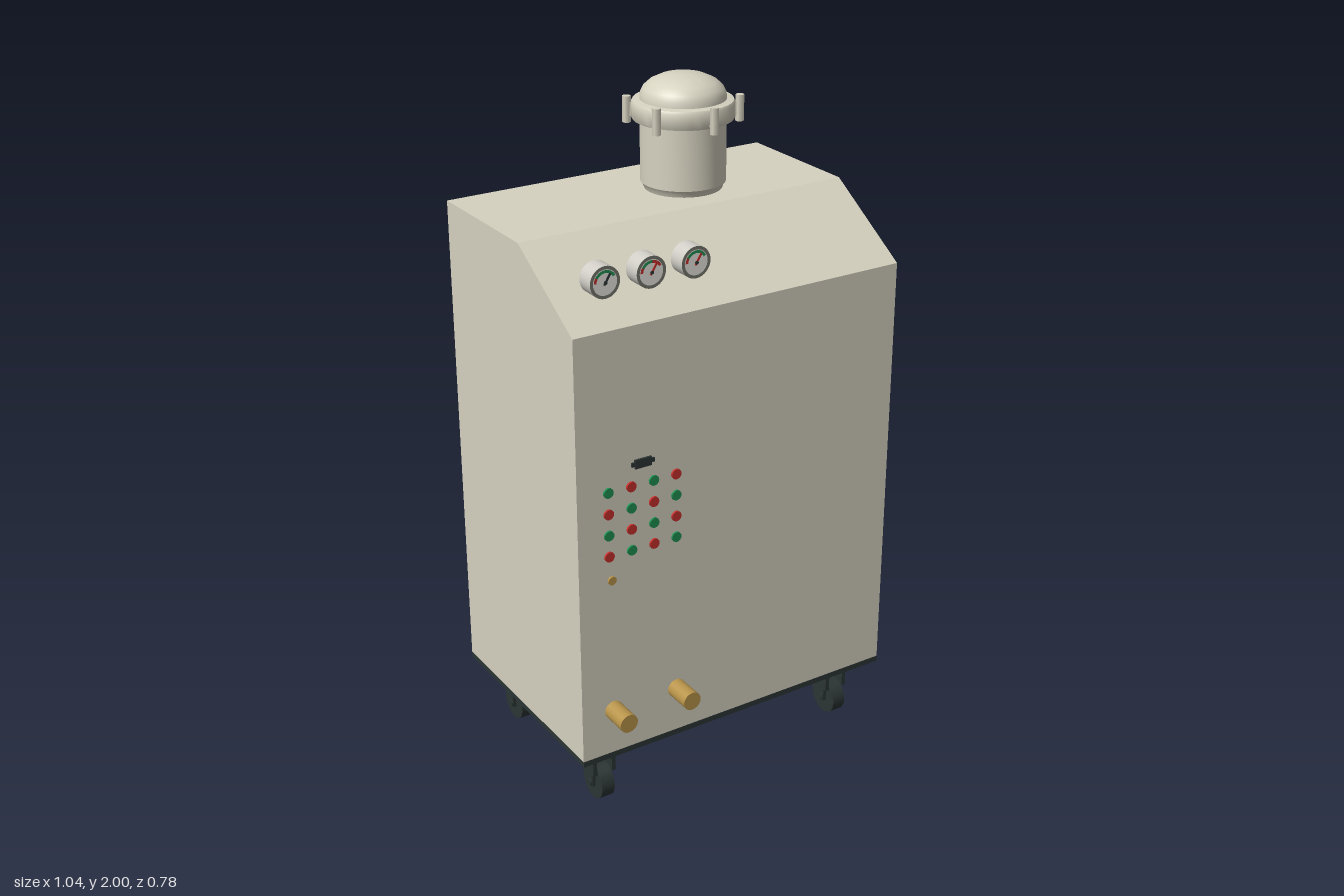
import * as THREE from 'three';
import { toCreasedNormals } from 'three/addons/utils/BufferGeometryUtils.js';

function mat(name, color) {
  const m = new THREE.MeshStandardMaterial({ color });
  m.name = name;
  return m;
}

export function createModel() {
  const cream = mat('cream paint', 0xd6d2c0);
  const steel = mat('pale steel', 0xd0cec6);
  const dialWhite = mat('dial white', 0xe9e8e2);
  const dark = mat('dark rubber', 0x2b3434);
  const rimGrey = mat('rim grey', 0x77776f);
  const brass = mat('brass', 0xb8944a);
  const green = mat('signal green', 0x1f9152);
  const red = mat('signal red', 0xc62f2b);

  const model = new THREE.Group();
  model.name = 'cabinetMachine';

  function add(parent, name, geometry, material, x = 0, y = 0, z = 0) {
    const mesh = new THREE.Mesh(geometry, material);
    mesh.name = name;
    mesh.position.set(x, y, z);
    parent.add(mesh);
    return mesh;
  }
  function group(name, x, y, z) {
    const g = new THREE.Group();
    g.name = name;
    g.position.set(x, y, z);
    model.add(g);
    return g;
  }
  const box = (w, h, d) => new THREE.BoxGeometry(w, h, d);
  // Cylinder lying along z or x
  const cylZ = (r, len, n = 32) => new THREE.CylinderGeometry(r, r, len, n).rotateX(Math.PI / 2);
  const cylX = (r, len, n = 32) => new THREE.CylinderGeometry(r, r, len, n).rotateZ(Math.PI / 2);
  const lathe = (pts, n = 48) => toCreasedNormals(
    new THREE.LatheGeometry(pts.map(([r, y]) => new THREE.Vector2(r, y)), n), 0.6);

  // Cabinet: side profile in z and y, extruded across the width
  const width = 1.044;
  const profile = new THREE.Shape(
    [[-0.39, 0.21], [0.305, 0.21], [0.305, 1.5], [0.025, 1.675], [-0.39, 1.675]]
      .map(([z, y]) => new THREE.Vector2(z, y)));
  const cabinet = new THREE.ExtrudeGeometry(profile, { depth: width, bevelEnabled: false });
  cabinet.translate(0, 0, -width / 2).rotateY(-Math.PI / 2);
  add(model, 'cabinet', cabinet, cream);
  add(model, 'basePlate', box(width, 0.018, 0.695), dark, 0, 0.201, -0.0425);

  // Filter vessel with flanged domed lid and clamp bolts
  const vessel = group('vessel', 0.103, 0, -0.152);
  add(vessel, 'vesselBody', lathe([[0.11, 1.67], [0.115, 1.685], [0.122, 1.695], [0.122, 1.88]]), cream);
  const lid = [[0.122, 1.875], [0.143, 1.875], [0.146, 1.88], [0.146, 1.92], [0.142, 1.927], [0.122, 1.93],
    [0.121, 1.945], [0.113, 1.962], [0.095, 1.978], [0.065, 1.992], [0.03, 1.999], [0, 2]];
  add(vessel, 'vesselLid', lathe(lid), cream);
  for (let i = 0; i < 6; i++) {
    const a = i * Math.PI / 3;
    const bolt = add(vessel, 'clampBolt', new THREE.CylinderGeometry(0.0125, 0.0125, 0.075, 6), cream,
      Math.sin(a) * 0.158, 1.9, Math.cos(a) * 0.158);
    bolt.material = cream;
    add(vessel, 'clampLug', box(0.014, 0.04, 0.02), cream,
      Math.sin(a) * 0.148, 1.9, Math.cos(a) * 0.148).rotation.y = a;
  }

  // Pressure gauges on the sloped panel
  [-0.386, -0.246, -0.107].forEach((x, i) => {
    const gauge = group('gauge', x, 1.606, 0.213);
    add(gauge, 'gaugeHousing', cylZ(0.045, 0.054), steel);
    add(gauge, 'gaugeRim', new THREE.RingGeometry(0.036, 0.045, 32), rimGrey, 0, 0, 0.0275);
    add(gauge, 'gaugeDial', new THREE.CircleGeometry(0.036, 32), dialWhite, 0, 0, 0.0275);
    add(gauge, 'greenScale', new THREE.RingGeometry(0.026, 0.034, 16, 1, 1.5, 1.1), green, 0, 0, 0.0285);
    add(gauge, 'redScaleLow', new THREE.RingGeometry(0.026, 0.034, 8, 1, 2.6, 0.5), red, 0, 0, 0.0285);
    add(gauge, 'greenScaleHigh', new THREE.RingGeometry(0.026, 0.034, 8, 1, 0.5, 1.0), i === 1 ? red : green, 0, 0, 0.0285);
    const needle = add(gauge, 'needle', box(0.006, 0.036, 0.002).translate(0, 0.01, 0),
      i === 0 ? dark : red, 0, 0, 0.03);
    needle.rotation.z = -0.55;
    add(gauge, 'needleHub', cylZ(0.005, 0.003, 12), dark, 0, 0, 0.0305);
  });

  // Control panel: display, alternating lamps and key switch
  const panel = group('controlPanel', 0, 0, 0.305);
  add(panel, 'display', box(0.052, 0.026, 0.008), dark, -0.318, 1.102, 0.003);
  add(panel, 'displayTabs', box(0.072, 0.012, 0.006), dark, -0.318, 1.102, 0.002);
  for (let row = 0; row < 4; row++) {
    for (let col = 0; col < 4; col++) {
      const material = (row + col) % 2 ? red : green;
      add(panel, 'lamp', cylZ(0.015, 0.008, 16), material, -0.427 + col * 0.0713, 1.039 - row * 0.0645, 0.002);
    }
  }
  add(panel, 'keySwitch', cylZ(0.013, 0.008, 12), brass, -0.42, 0.77, 0.002);

  // Pipe connections low on the front
  for (const x of [-0.421, -0.212]) add(model, 'pipeStub', cylZ(0.028, 0.095), brass, x, 0.352, 0.3425);

  // Casters
  for (const x of [-0.417, 0.417]) {
    for (const z of [0.205, -0.285]) {
      const caster = group('caster', x, 0, z);
      add(caster, 'casterPlate', box(0.092, 0.012, 0.092), steel, 0, 0.16, 0);
      add(caster, 'forkTop', box(0.076, 0.008, 0.068), dark, 0, 0.151, 0);
      add(caster, 'wheel', cylX(0.055, 0.042), dark, 0, 0.055, 0);
      add(caster, 'axle', cylX(0.012, 0.07, 12), dark, 0, 0.055, 0);
      for (const s of [-1, 1]) {
        add(caster, 'forkSide', box(0.013, 0.058, 0.068), dark, s * 0.031, 0.122, 0);
        add(caster, 'forkArm', box(0.01, 0.055, 0.03), dark, s * 0.026, 0.073, 0);
      }
    }
  }
  return model;
}
